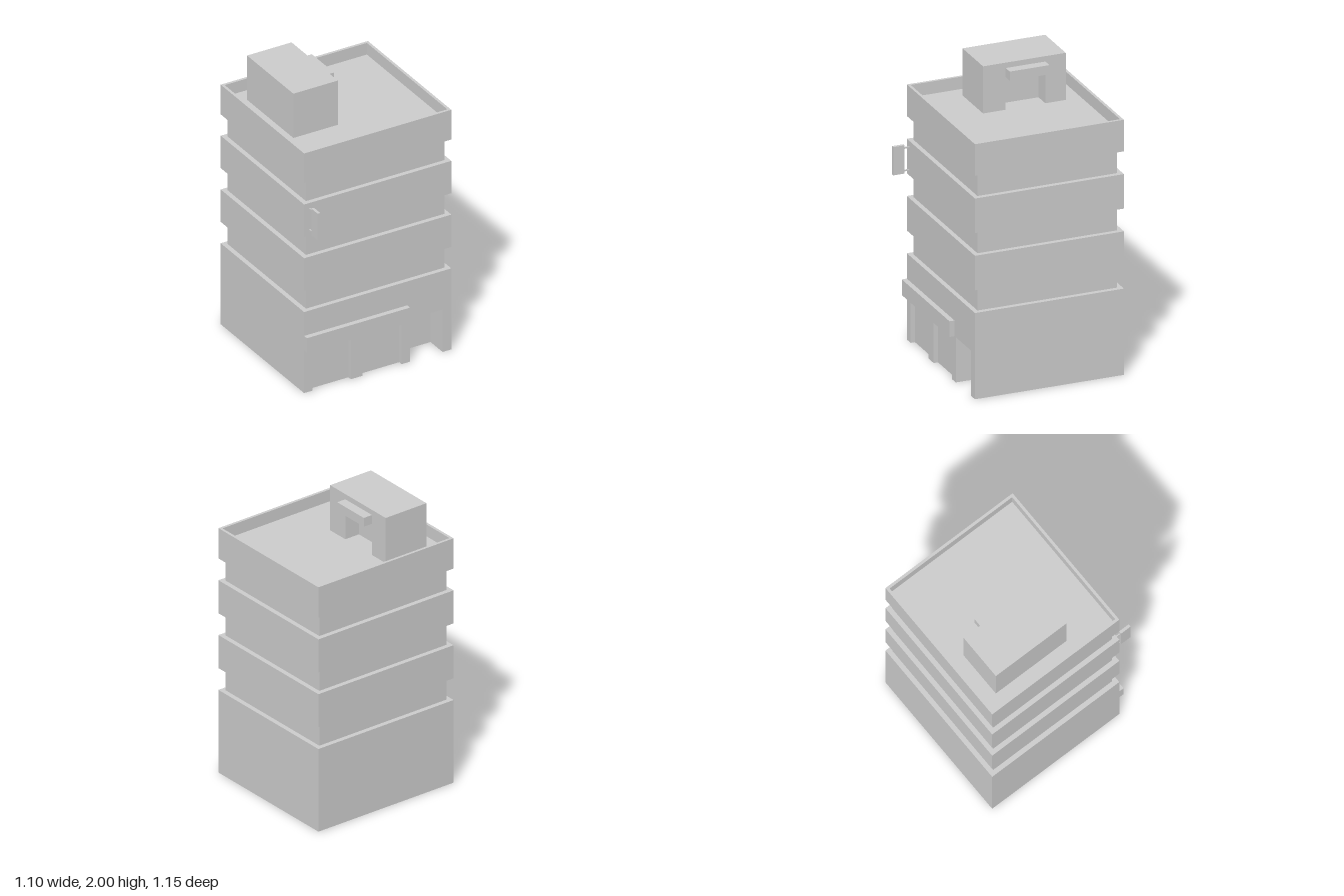
import * as THREE from 'three';

const material = new THREE.MeshStandardMaterial({ color: 0xcccccc });

// Plan extents of the projecting floors
const X = 0.548, BACK = -0.576, FRONT = 0.46;

export function createModel() {
  const building = new THREE.Group();
  building.name = 'building';

  const add = (name, geometry) => {
    const mesh = new THREE.Mesh(geometry, material);
    mesh.name = name;
    building.add(mesh);
    return mesh;
  };

  // Box given by its extents along each axis
  const box = (name, [x0, x1], [y0, y1], [z0, z1]) => {
    const mesh = add(name, new THREE.BoxGeometry(x1 - x0, y1 - y0, z1 - z0));
    mesh.position.set((x0 + x1) / 2, (y0 + y1) / 2, (z0 + z1) / 2);
  };

  // Floor plan of [x, z] corners raised from y0 to y1
  const outline = (points) => points.map(([x, z]) => new THREE.Vector2(x, -z));
  const raisePlan = (name, points, [y0, y1], hole) => {
    const shape = new THREE.Shape(outline(points));
    if (hole) shape.holes.push(new THREE.Path(outline(hole)));
    const geometry = new THREE.ExtrudeGeometry(shape, { depth: y1 - y0, bevelEnabled: false });
    geometry.rotateX(-Math.PI / 2).translate(0, y0, 0);
    add(name, geometry);
  };
  const rectangle = (x0, x1, z0, z1) => [[x0, z1], [x1, z1], [x1, z0], [x0, z0]];

  // Ground floor: two shallow shop windows and a deep entrance, [x0, x1, depth]
  const openings = [[-0.485, -0.2, 0.03], [-0.115, 0.178, 0.03], [0.24, 0.483, 0.15]];
  const plan = [[-X, BACK], [-X, FRONT]];
  for (const [x0, x1, depth] of openings) {
    plan.push([x0, FRONT], [x0, FRONT - depth], [x1, FRONT - depth], [x1, FRONT]);
  }
  plan.push([X, FRONT], [X, BACK]);
  raisePlan('groundFloor', plan, [0, 0.312]);
  box('groundFloorTop', [-X, X], [0.312, 0.595], [BACK, FRONT]);

  // Shop canopy
  box('shopCanopy', [-X, 0.22], [0.312, 0.42], [FRONT, 0.495]);

  // Recessed window bands between the floors
  for (const [y0, y1] of [[0.595, 0.752], [0.99, 1.147], [1.385, 1.542]]) {
    box('windowBand', [-0.515, 0.515], [y0, y1], [-0.543, 0.428]);
  }

  // Projecting wall bands
  for (const [y0, y1] of [[0.752, 0.99], [1.147, 1.385], [1.542, 1.675]]) {
    box('wallBand', [-X, X], [y0, y1], [BACK, FRONT]);
  }

  // Parapet round the roof
  raisePlan('parapet', rectangle(-X, X, BACK, FRONT), [1.675, 1.76],
    rectangle(-0.529, 0.529, -0.557, 0.441));

  // Stair house with a door recess on its left side
  const [hx0, hx1, hz0, hz1] = [-0.427, -0.096, -0.45, 0.125];
  const [dz0, dz1] = [-0.308, -0.032];
  raisePlan('stairHouse', [
    [hx0, hz0], [hx0, hz1], [hx1, hz1], [hx1, dz1], [hx1 - 0.11, dz1],
    [hx1 - 0.11, dz0], [hx1, dz0], [hx1, hz0],
  ], [1.675, 1.9]);
  box('stairHouseTop', [hx0, hx1], [1.9, 2], [hz0, hz1]);
  box('doorCanopy', [hx1, -0.03], [1.9, 1.963], [dz0, dz1]);

  // Projecting sign board on two brackets
  box('signBoard', [-0.517, -0.497], [1.17, 1.365], [0.497, 0.576]);
  for (const y of [1.187, 1.343]) {
    box('signBracket', [-0.511, -0.503], [y - 0.005, y + 0.005], [FRONT, 0.497]);
  }

  return building;
}
